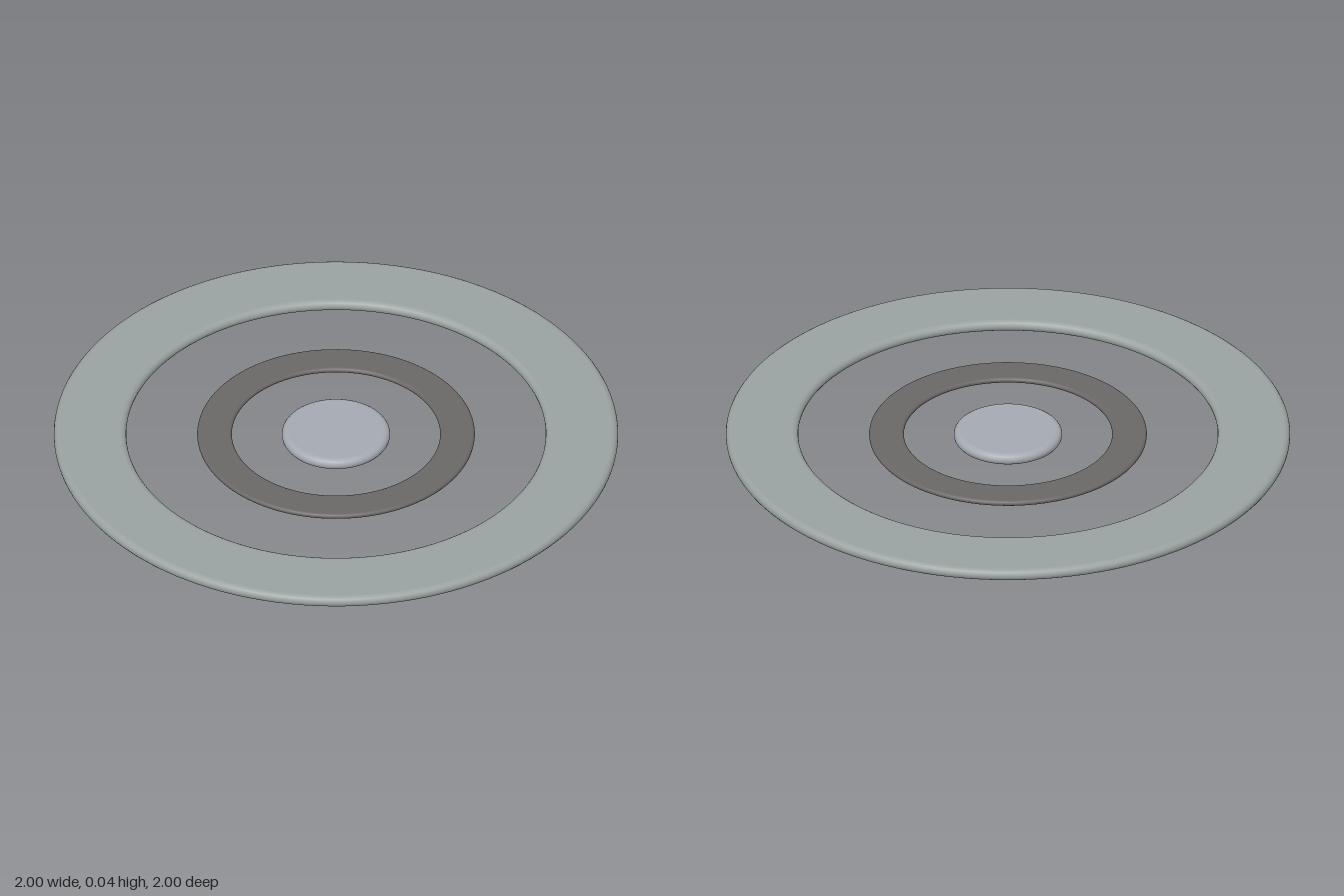
import * as THREE from 'three';

const SEGMENTS = 128;
const MID_Y = 0.021;
const ARC_STEPS = 8;

// Half-round edge as profile points, centred at radius cx, from angle a0 to a0 + PI
function roundEdge(cx, r, a0) {
  const points = [];
  for (let i = 0; i <= ARC_STEPS; i++) {
    const a = a0 + (Math.PI * i) / ARC_STEPS;
    points.push(new THREE.Vector2(cx + r * Math.cos(a), MID_Y + r * Math.sin(a)));
  }
  return points;
}

// Flat ring (or solid disc when inner is 0) with fully rounded edges
function roundedRing(name, inner, outer, height, color) {
  const r = height / 2;
  const top = MID_Y + r;
  const bottom = MID_Y - r;
  const start = inner > 0 ? (inner + outer) / 2 : 0;
  const support = 0.002; // extra loops keep the flat faces shading flat
  const profile = [
    new THREE.Vector2(start, bottom),
    new THREE.Vector2(outer - r - support, bottom),
    ...roundEdge(outer - r, r, -Math.PI / 2),
    new THREE.Vector2(outer - r - support, top),
  ];
  if (inner > 0) {
    profile.push(
      new THREE.Vector2(inner + r + support, top),
      ...roundEdge(inner + r, r, Math.PI / 2),
      new THREE.Vector2(inner + r + support, bottom),
    );
  }
  profile.push(new THREE.Vector2(start, inner > 0 ? bottom : top));

  const mesh = new THREE.Mesh(
    new THREE.LatheGeometry(profile, SEGMENTS),
    new THREE.MeshStandardMaterial({ color }),
  );
  mesh.name = name;
  return mesh;
}

export function createModel() {
  const model = new THREE.Group();
  model.name = 'concentricRings';
  model.add(
    roundedRing('outerRing', 0.743, 1, 0.042, 0x9aa3a1),
    roundedRing('middleRing', 0.369, 0.492, 0.02, 0x6a6866),
    roundedRing('centreDisc', 0, 0.192, 0.042, 0xa5aab2),
  );
  return model;
}
